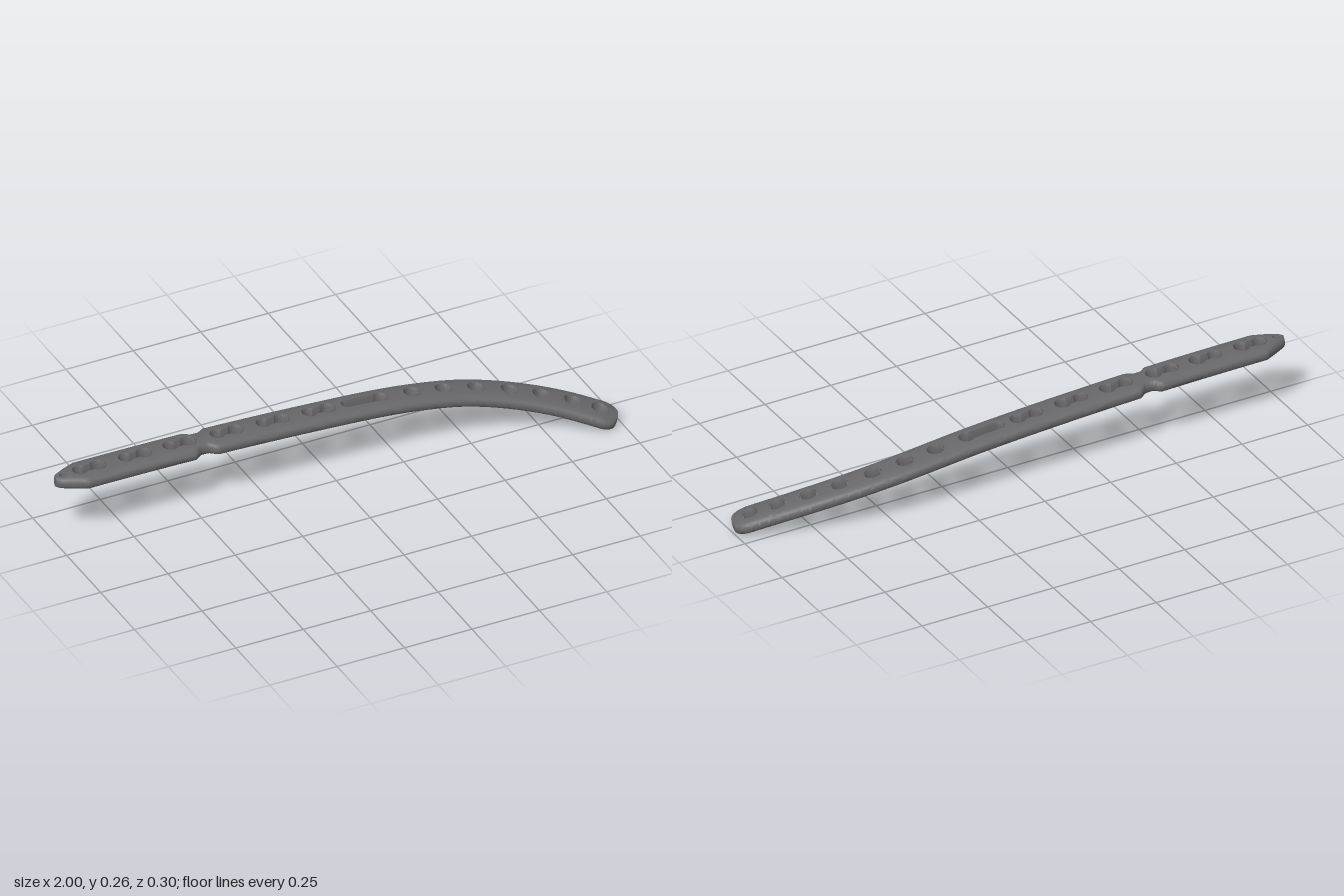
import * as THREE from 'three';
import { toCreasedNormals } from 'three/addons/utils/BufferGeometryUtils.js';

const HALF = 0.066;

// Centre line: straight shaft, then a bend forwards and down
const curve = new THREE.CatmullRomCurve3([
  [-1, 0.25, -0.081], [-0.75, 0.249, -0.081], [-0.5, 0.245, -0.081], [-0.25, 0.236, -0.081],
  [0, 0.223, -0.081], [0.2, 0.209, -0.081], [0.35, 0.192, -0.078], [0.5, 0.169, -0.066],
  [0.65, 0.136, -0.034], [0.8, 0.094, 0.018], [0.92, 0.051, 0.075], [0.985, 0.024, 0.11],
].map(p => new THREE.Vector3(...p)), false, 'centripetal');
curve.arcLengthDivisions = 1000;
const LENGTH = curve.getLength();

// Distance along the centre line at which it reaches a given x
function along(x) {
  let lo = 0, hi = 1;
  for (let i = 0; i < 30; i++) {
    const mid = (lo + hi) / 2;
    if (curve.getPointAt(mid).x < x) lo = mid; else hi = mid;
  }
  return lo * LENGTH;
}

// Every opening is a set of discs and bars lying on the centre line
const discs = [], bars = [];
const addDisc = (x, r, rim = 0.005) => discs.push({ s: along(x), r, rim });
const addBar = (x0, x1, h) => bars.push({ a: along(x0), b: along(x1), h });
addDisc(-0.972, 0.009, 0.003);
for (const x of [-0.875, -0.705, -0.54, -0.365, -0.195, -0.025]) {
  addDisc(x - 0.033, 0.022);
  addDisc(x + 0.033, 0.024);
  addBar(x - 0.033, x + 0.033, 0.014);
}
addDisc(0.082, 0.017);
addDisc(0.203, 0.023);
addBar(0.082, 0.203, 0.017);
for (const x of [0.32, 0.433, 0.545, 0.655, 0.755, 0.85, 0.93]) addDisc(x, 0.025);

// Half width of the opening at s, optionally with its countersunk rim
function opening(s, rim) {
  let h = 0;
  for (const d of discs) {
    const r = d.r + (rim ? d.rim : 0), q = r * r - (s - d.s) ** 2;
    if (q > 1e-9) h = Math.max(h, Math.sqrt(q));
  }
  for (const b of bars) if (s > b.a && s < b.b) h = Math.max(h, b.h + (rim ? 0.004 : 0));
  return h;
}

// Half width of the plate: tapered tip, notched waist, rounded far end
const NOTCH = along(-0.465);
function halfWidth(s) {
  let w = Math.min(HALF, 0.021 + s * 0.47);
  if (s < 0.012) w -= 0.012 * (1 - s / 0.012) ** 2;
  const n = Math.abs(s - NOTCH);
  w -= 0.02 * (1 - THREE.MathUtils.smoothstep(n, 0.01, 0.045));
  const e = LENGTH - s, R = 0.052;
  if (e < R) w *= 0.35 + 0.65 * Math.sqrt(Math.max(0, 1 - (1 - e / R) ** 2));
  return w;
}

// Cross-section of one side, from the opening outwards over the top and back underneath
function section(s) {
  const w = halfWidth(s);
  const top = Math.min(opening(s, true), w - 0.003);
  const low = Math.min(opening(s, false), w - 0.004);
  const e = Math.min(s, LENGTH - s);
  const k = 0.82 + 0.18 * Math.min(1, e / 0.05);
  const crown = t => (0.023 - 0.006 * (t / HALF) ** 2) * k;
  const shoulder = Math.max(top, w - 0.014);
  const middle = (top + shoulder) / 2;
  const under = Math.max(low, w - 0.012);
  return [
    [top, crown(top)], [middle, crown(middle)], [shoulder, crown(shoulder)],
    [Math.max(top, w - 0.005), crown(w) - 0.004], [w, 0.006 * k], [w, -0.008 * k],
    [Math.max(low, w - 0.004), -0.016 * k], [under, -0.02 * k], [low, -0.02 * k],
    [low, 0.01 * k],
  ];
}

// Stations: even steps, with extra ones where the openings curve
function stations() {
  const list = [];
  for (let i = 0; i <= 260; i++) list.push(i / 260 * LENGTH);
  for (const d of discs)
    for (const r of [d.r, d.r + d.rim])
      for (let i = 0; i <= 16; i++) list.push(d.s + r * Math.cos(i / 16 * Math.PI));
  for (let i = 1; i < 10; i++) {
    list.push(0.012 * i / 10);
    list.push(LENGTH - 0.052 * (1 - Math.cos(i / 10 * Math.PI / 2)));
  }
  list.sort((a, b) => a - b);
  return list.filter((s, i) => s >= 0 && s <= LENGTH && (i === 0 || s - list[i - 1] > 1e-5));
}

function plateGeometry() {
  const rings = stations().map(s => {
    const u = Math.min(1, s / LENGTH);
    const p = curve.getPointAt(u), t = curve.getTangentAt(u);
    const side = new THREE.Vector3(-t.z, 0, t.x).normalize();
    const up = side.clone().cross(t);
    return { p, side, up, loop: section(s) };
  });
  const pos = [];
  for (const sign of [1, -1]) {
    const at = (r, j) => r.p.clone()
      .addScaledVector(r.side, sign * r.loop[j][0]).addScaledVector(r.up, r.loop[j][1]);
    const tri = (a, b, c) => {
      for (const v of sign > 0 ? [a, b, c] : [a, c, b]) pos.push(v.x, v.y, v.z);
    };
    const n = rings[0].loop.length;
    for (let i = 0; i + 1 < rings.length; i++) {
      const A = rings[i], B = rings[i + 1];
      for (let j = 0; j < n; j++) {
        const k = (j + 1) % n;
        // Where there is no opening the two sides simply meet
        if (Math.max(A.loop[j][0], A.loop[k][0], B.loop[j][0], B.loop[k][0]) < 1e-6) continue;
        const a = at(A, j), b = at(A, k), c = at(B, k), d = at(B, j);
        tri(a, b, c);
        tri(a, c, d);
      }
    }
    // End caps
    const first = rings[0], last = rings[rings.length - 1];
    for (let j = 1; j + 1 < n; j++) {
      tri(at(first, 0), at(first, j + 1), at(first, j));
      tri(at(last, 0), at(last, j), at(last, j + 1));
    }
  }
  const g = new THREE.BufferGeometry();
  g.setAttribute('position', new THREE.Float32BufferAttribute(pos, 3));
  return toCreasedNormals(g, 0.7);
}

export function createModel() {
  const metal = new THREE.MeshStandardMaterial({ color: 0x68686a });
  metal.name = 'dark grey metal';
  const plate = new THREE.Mesh(plateGeometry(), metal);
  plate.name = 'perforatedPlate';
  const group = new THREE.Group();
  group.name = 'curvedBonePlate';
  group.add(plate);

  // Centre the plate and stand it on the ground
  const box = new THREE.Box3().setFromObject(plate);
  const c = box.getCenter(new THREE.Vector3());
  plate.position.set(-c.x, -box.min.y, -c.z);
  return group;
}
